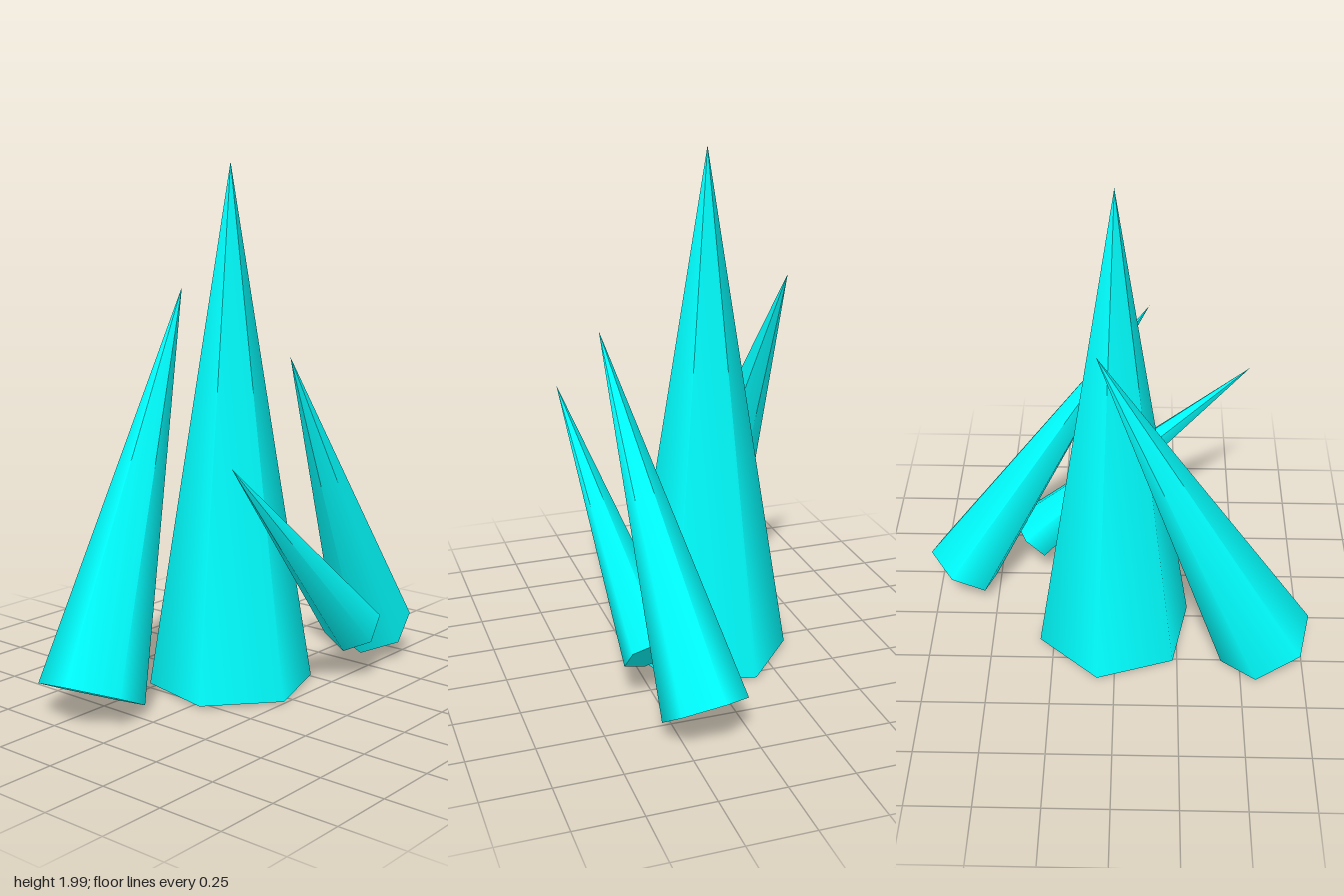
import * as THREE from 'three';

const material = new THREE.MeshStandardMaterial({ color: 0x00ffff });

// Six-sided spike from a base centre to a tip; corner points from the base centre to one base corner
function spike(name, radius, base, tip, corner) {
  const foot = new THREE.Vector3(...base);
  const axis = new THREE.Vector3(...tip).sub(foot);
  const height = axis.length();
  axis.normalize();
  const side = new THREE.Vector3().crossVectors(axis, new THREE.Vector3(...corner)).normalize();
  const out = new THREE.Vector3().crossVectors(side, axis);

  const geometry = new THREE.ConeGeometry(radius, height, 6);
  geometry.translate(0, height / 2, 0);
  const mesh = new THREE.Mesh(geometry, material);
  mesh.name = name;
  mesh.quaternion.setFromRotationMatrix(new THREE.Matrix4().makeBasis(side, axis, out));
  mesh.position.copy(foot);
  return mesh;
}

export function createModel() {
  const model = new THREE.Group();
  model.name = 'crystalCluster';
  model.add(
    // Upright centre crystal
    spike('mainCrystal', 0.317, [-0.057, 0.015, -0.005], [-0.057, 2, -0.005], [0.1, 0, 0.3]),
    // Leaning crystals around it
    spike('frontCrystal', 0.198, [-0.21, 0.09, 0.6], [-0.352, 1.525, -0.06], [0.045, 0.085, 0.17]),
    spike('backCrystal', 0.159, [0.17, 0.13, -0.645], [0.322, 1.32, 0.12], [0.15, -0.04, 0.035]),
    spike('smallSideCrystal', 0.116, [0.27, 0.217, -0.357], [0.395, 0.992, 0.527], [0.01, -0.0875, 0.0725]),
  );
  return model;
}
